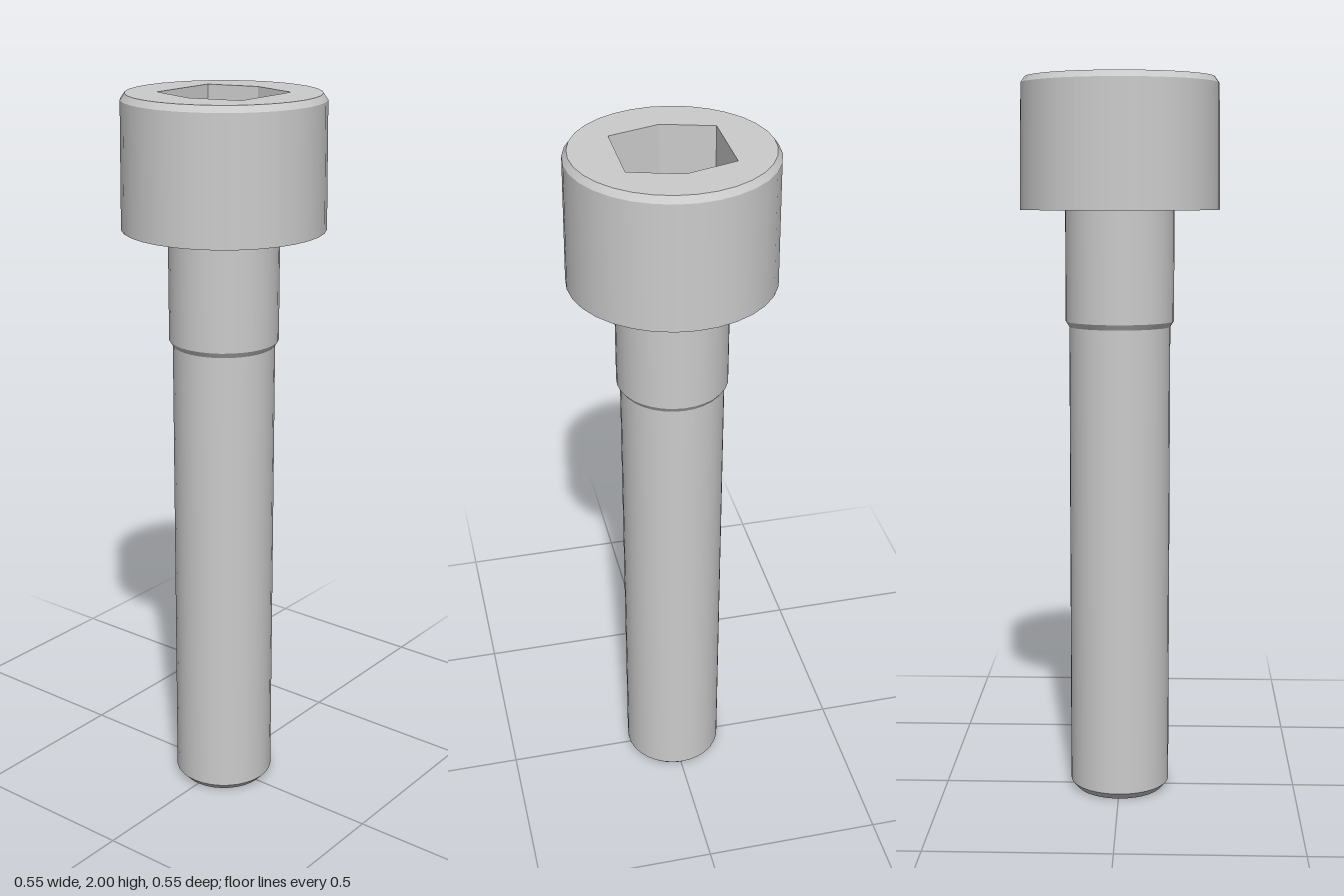
import * as THREE from 'three';

const SIDES = 32;
const HEAD_TOP = 2;
const SOCKET_FLOOR = 1.82;

export function createModel() {
  const group = new THREE.Group();
  group.name = 'socketHeadBolt';
  const smooth = new THREE.MeshStandardMaterial({ color: 0xcccccc, side: THREE.DoubleSide });
  const flat = new THREE.MeshStandardMaterial({ color: 0xcccccc, side: THREE.DoubleSide, flatShading: true });

  const add = (name, geometry, material = smooth) => {
    const mesh = new THREE.Mesh(geometry, material);
    mesh.name = name;
    group.add(mesh);
    return mesh;
  };

  // One band of the turned body; separate bands keep the edges between them sharp
  const band = (name, r0, y0, r1, y1) =>
    add(name, new THREE.LatheGeometry([new THREE.Vector2(r0, y0), new THREE.Vector2(r1, y1)], SIDES));

  // Shank, open at its lower end
  band('tipChamfer', 0.122, 0, 0.14, 0.02);
  band('threadedShank', 0.14, 0.02, 0.14, 1.325);
  band('shoulderChamfer', 0.14, 1.325, 0.15, 1.34);
  band('plainShank', 0.15, 1.34, 0.15, 1.645);

  // Head
  band('headUnderside', 0.15, 1.645, 0.274, 1.645);
  band('headSide', 0.274, 1.645, 0.27, 1.983);
  band('headChamfer', 0.27, 1.983, 0.258, HEAD_TOP);

  // Six-sided socket outline, counter-clockwise
  const hex = [[0.146, 0], [0.105, 0.138], [-0.105, 0.138], [-0.146, 0], [-0.105, -0.138], [0.105, -0.138]]
    .map(([x, y]) => new THREE.Vector2(x, y));

  // Top face with the socket opening
  const top = new THREE.Shape().absarc(0, 0, 0.258, 0, Math.PI * 2);
  top.holes.push(new THREE.Path(hex));
  const face = add('headTop', new THREE.ShapeGeometry(top, SIDES / 2).rotateX(-Math.PI / 2), flat);
  face.position.y = HEAD_TOP;

  // Socket floor
  const floor = add('socketFloor', new THREE.ShapeGeometry(new THREE.Shape(hex)).rotateX(-Math.PI / 2), flat);
  floor.position.y = SOCKET_FLOOR;

  // Socket walls, facing inwards
  const corners = [];
  hex.forEach((a, i) => {
    const b = hex[(i + 1) % hex.length];
    const at = (p, y) => [p.x, y, -p.y];
    const [bl, br, tr, tl] = [at(b, SOCKET_FLOOR), at(a, SOCKET_FLOOR), at(a, HEAD_TOP), at(b, HEAD_TOP)];
    corners.push(...bl, ...br, ...tr, ...bl, ...tr, ...tl);
  });
  const walls = new THREE.BufferGeometry();
  walls.setAttribute('position', new THREE.Float32BufferAttribute(corners, 3));
  walls.computeVertexNormals();
  add('socketWalls', walls, flat);

  return group;
}
